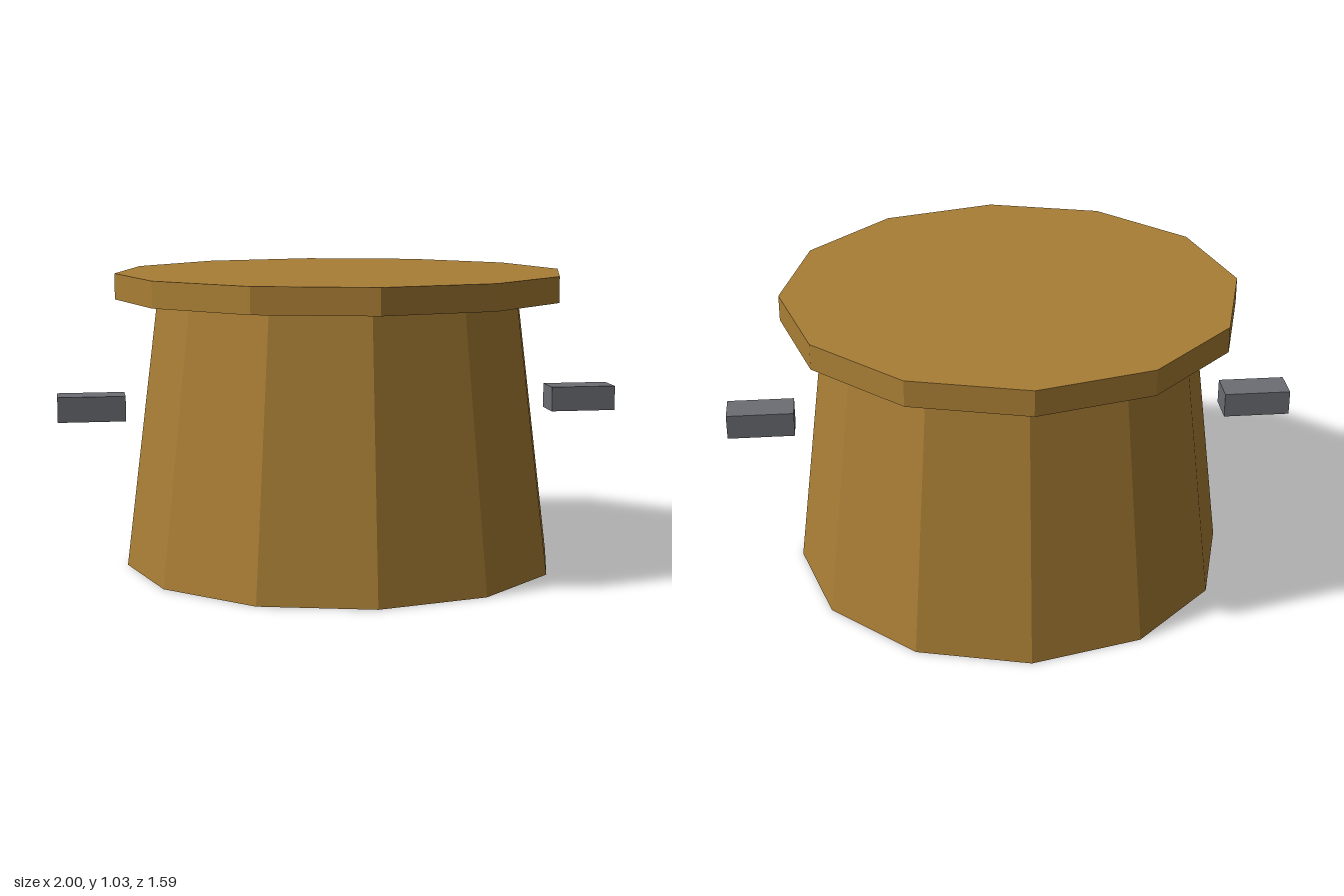
import * as THREE from 'three';

export function createModel() {
  const group = new THREE.Group();
  const wood = new THREE.MeshStandardMaterial({ color: 0xa97e35, flatShading: true });
  wood.name = 'ochre wood';
  const metal = new THREE.MeshStandardMaterial({ color: 0x6c6d74, flatShading: true });
  metal.name = 'grey metal';

  const add = (name, geometry, material, x, y) => {
    const mesh = new THREE.Mesh(geometry, material);
    mesh.name = name;
    mesh.position.set(x, y, 0);
    group.add(mesh);
  };

  const sides = 12, bodyHeight = 0.945, lidHeight = 0.09;

  // Tapered twelve-sided body
  add('body', new THREE.CylinderGeometry(0.647, 0.765, bodyHeight, sides), wood, 0, bodyHeight / 2);

  // Overhanging flat lid
  add('lid', new THREE.CylinderGeometry(0.794, 0.794, lidHeight, sides), wood, 0, bodyHeight + lidHeight / 2);

  // Handle blocks, standing just clear of the body
  for (const side of [1, -1]) {
    add(side > 0 ? 'leftHandle' : 'rightHandle',
      new THREE.BoxGeometry(0.235, 0.088, 0.118), metal, side * 0.8825, 0.568);
  }
  return group;
}
